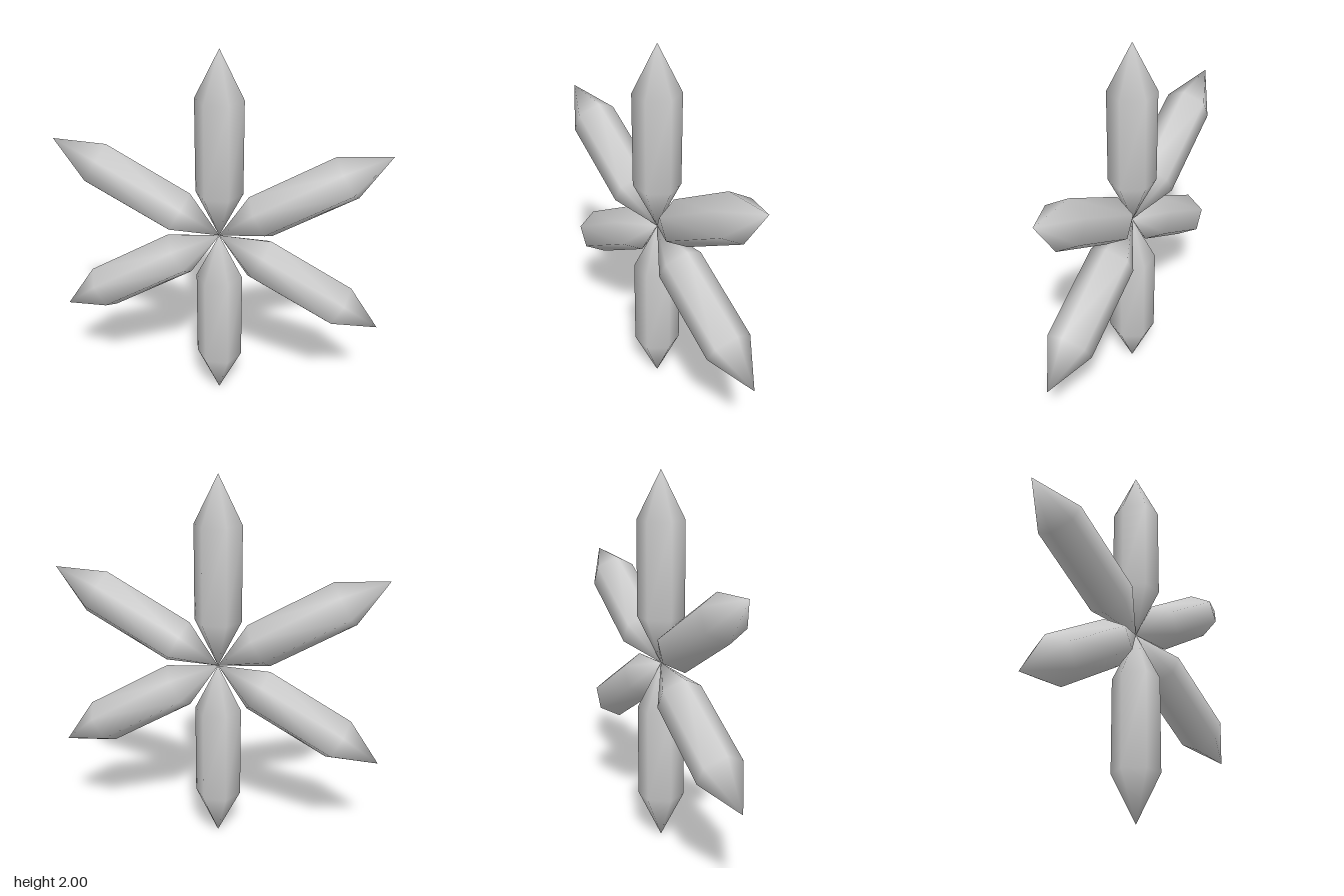
import * as THREE from 'three';

const SIDES = 6, RADIUS = 0.125, LENGTH = 1, TIP = 0.25;

// Six-sided prism pointed at both ends, with shared vertices for smooth shading
function crystalGeometry() {
  const points = [0, 0, 0, 0, LENGTH, 0];
  for (const y of [TIP, LENGTH - TIP]) {
    for (let i = 0; i < SIDES; i++) {
      const a = (i / SIDES) * Math.PI * 2;
      points.push(RADIUS * Math.cos(a), y, RADIUS * Math.sin(a));
    }
  }
  const faces = [];
  for (let i = 0; i < SIDES; i++) {
    const low = 2 + i, lowNext = 2 + ((i + 1) % SIDES);
    const high = low + SIDES, highNext = lowNext + SIDES;
    faces.push(0, low, lowNext);                                // inner point
    faces.push(lowNext, low, high, lowNext, high, highNext);    // side
    faces.push(1, highNext, high);                              // outer point
  }
  const geometry = new THREE.BufferGeometry();
  geometry.setAttribute('position', new THREE.Float32BufferAttribute(points, 3));
  geometry.setIndex(faces);
  geometry.computeVertexNormals();
  return geometry;
}

export function createModel() {
  const model = new THREE.Group();
  model.name = 'crystalStar';
  const material = new THREE.MeshStandardMaterial({ color: 0xcccccc });
  const geometry = crystalGeometry();

  // Six crystals radiating from the centre in the upright plane
  for (let i = 0; i < 6; i++) {
    const crystal = new THREE.Mesh(geometry, material);
    crystal.name = `crystal${i + 1}`;
    crystal.position.y = 1;
    crystal.rotation.z = (i * Math.PI) / 3;
    model.add(crystal);
  }
  return model;
}
